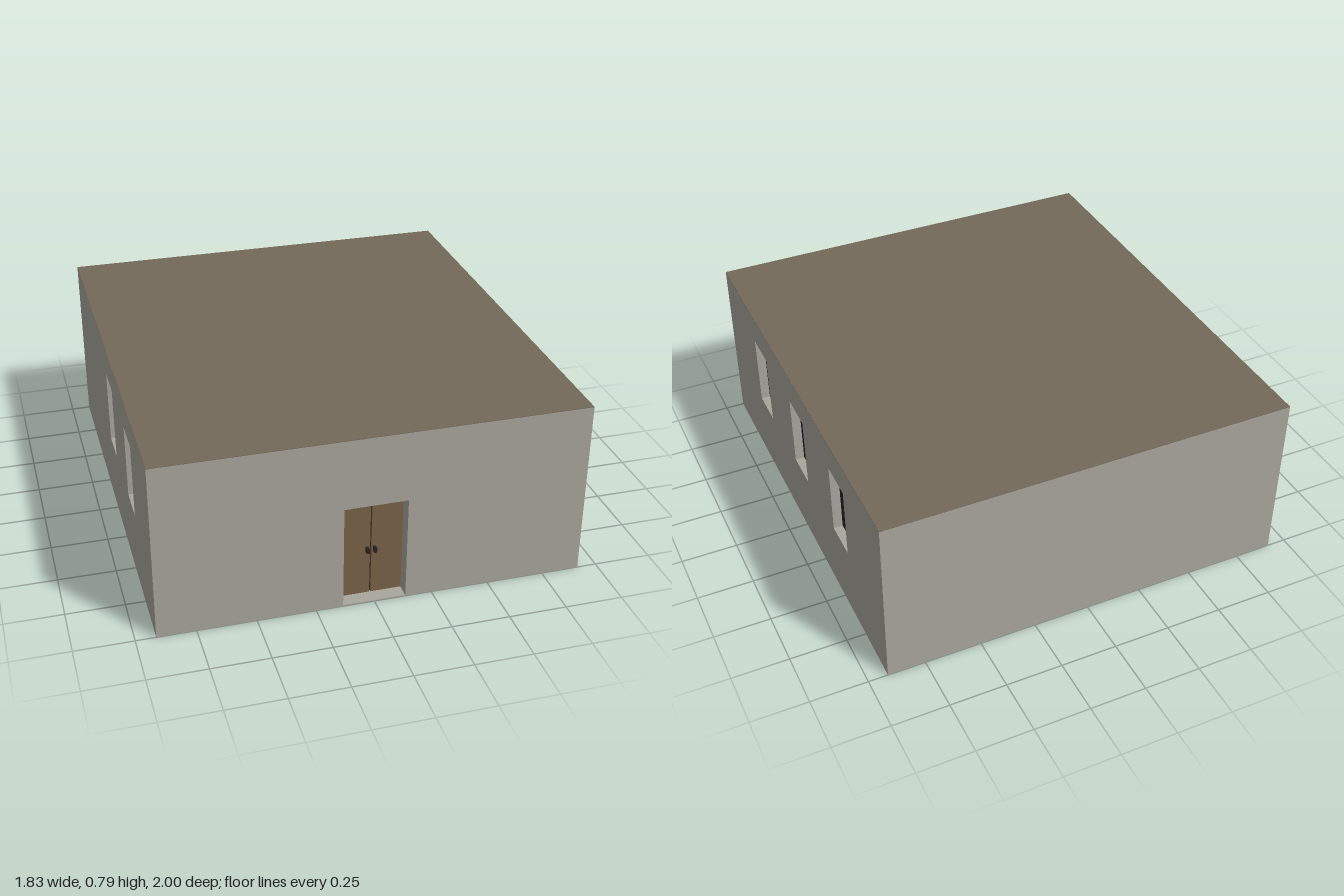
import * as THREE from 'three';

const W = 1.83, D = 2, H = 0.785; // overall size
const T = 0.08;                    // wall thickness

const mat = (color, side = THREE.FrontSide) =>
  new THREE.MeshStandardMaterial({ color, side });
const stone = mat(0xa8a59c, THREE.DoubleSide);
const earth = mat(0x73695a, THREE.DoubleSide);
const wood = mat(0x7a6248);
const dark = mat(0x2a2420);
const glass = mat(0x21232b, THREE.DoubleSide);

function add(parent, name, geometry, material, x = 0, y = 0, z = 0) {
  const mesh = new THREE.Mesh(geometry, material);
  mesh.name = name;
  mesh.position.set(x, y, z);
  parent.add(mesh);
  return mesh;
}

const box = (w, h, d) => new THREE.BoxGeometry(w, h, d);

function rectPath(Type, x0, y0, x1, y1) {
  const p = new Type();
  p.moveTo(x0, y0);
  p.lineTo(x1, y0);
  p.lineTo(x1, y1);
  p.lineTo(x0, y1);
  p.closePath();
  return p;
}

// Lining of a rectangular opening, running back into the wall
function reveal(parent, { x, w, y0, y1 }) {
  const h = y1 - y0;
  for (const s of [-1, 1]) {
    add(parent, 'openingJamb', new THREE.PlaneGeometry(T, h), stone,
      x + s * w / 2, (y0 + y1) / 2, -T / 2).rotation.y = -s * Math.PI / 2;
  }
  for (const [y, r] of [[y0, -1], [y1, 1]]) {
    add(parent, y === y0 ? 'openingSill' : 'openingHead',
      new THREE.PlaneGeometry(w, T), stone, x, y, -T / 2).rotation.x = r * Math.PI / 2;
  }
}

// One wall: outer face with openings, plus the inner face; local +z is outward
function wall(name, width, openings) {
  const g = new THREE.Group();
  g.name = name;
  const shape = rectPath(THREE.Shape, -width / 2, 0, width / 2, H - 0.002);
  for (const o of openings) {
    shape.holes.push(rectPath(THREE.Path, o.x - o.w / 2, o.y0, o.x + o.w / 2, o.y1));
    reveal(g, o);
  }
  add(g, 'outerFace', new THREE.ShapeGeometry(shape), stone);
  add(g, 'innerFace', new THREE.PlaneGeometry(width - 2 * T, H - 0.004), stone,
    0, H / 2, -T);
  return g;
}

// Round-headed window pane set back in its opening
function windowPane(parent, { x, w, y0, y1 }) {
  const r = w / 2, spring = y1 - r - 0.004;
  const s = new THREE.Shape();
  s.moveTo(-r, y0);
  s.lineTo(r, y0);
  s.lineTo(r, spring);
  s.absarc(0, spring, r, 0, Math.PI, false);
  s.closePath();
  add(parent, 'windowPane', new THREE.ShapeGeometry(s, 16), glass, x, 0, -0.04);
}

function door(parent, { w, y0, y1 }) {
  const g = new THREE.Group();
  g.name = 'doubleDoor';
  const gap = 0.003, leaf = w / 2 - gap, h = y1 - y0 - 0.004;
  add(g, 'doorBacking', box(w, y1 - y0, 0.004), dark, 0, (y0 + y1) / 2, -0.076);
  for (const s of [-1, 1]) {
    add(g, 'doorLeaf', box(leaf, h, 0.012), wood, s * (gap + leaf / 2), y0 + h / 2, -0.07);
    add(g, 'doorHandle', box(0.012, 0.024, 0.02), dark, s * 0.016, 0.22, -0.055);
  }
  parent.add(g);
}

export function createModel() {
  const model = new THREE.Group();
  model.name = 'hall';

  // Front wall with the double door
  const doorway = { x: 0, w: 0.27, y0: 0.004, y1: 0.47 };
  const front = wall('frontWall', W, [doorway]);
  front.position.z = D / 2;
  door(front, doorway);

  const back = wall('backWall', W, []);
  back.position.z = -D / 2;
  back.rotation.y = Math.PI;
  model.add(front, back);

  // Side walls: three windows on one side, two on the other
  for (const [s, name, zs] of [[1, 'leftWall', [-0.5, 0, 0.5]], [-1, 'rightWall', [0, 0.5]]]) {
    const windows = zs.map((z) => ({ x: -s * z, w: 0.17, y0: 0.32, y1: 0.648 }));
    const side = wall(name, D, windows);
    windows.forEach((o) => windowPane(side, o));
    side.position.x = s * W / 2;
    side.rotation.y = s * Math.PI / 2;
    model.add(side);
  }

  // Flat roof and the floor between the inner faces
  add(model, 'roof', box(W, 0.002, D), earth, 0, H - 0.001, 0);
  add(model, 'floor', box(W - 2 * T, 0.004, D - 2 * T), earth, 0, 0.002, 0);
  return model;
}
